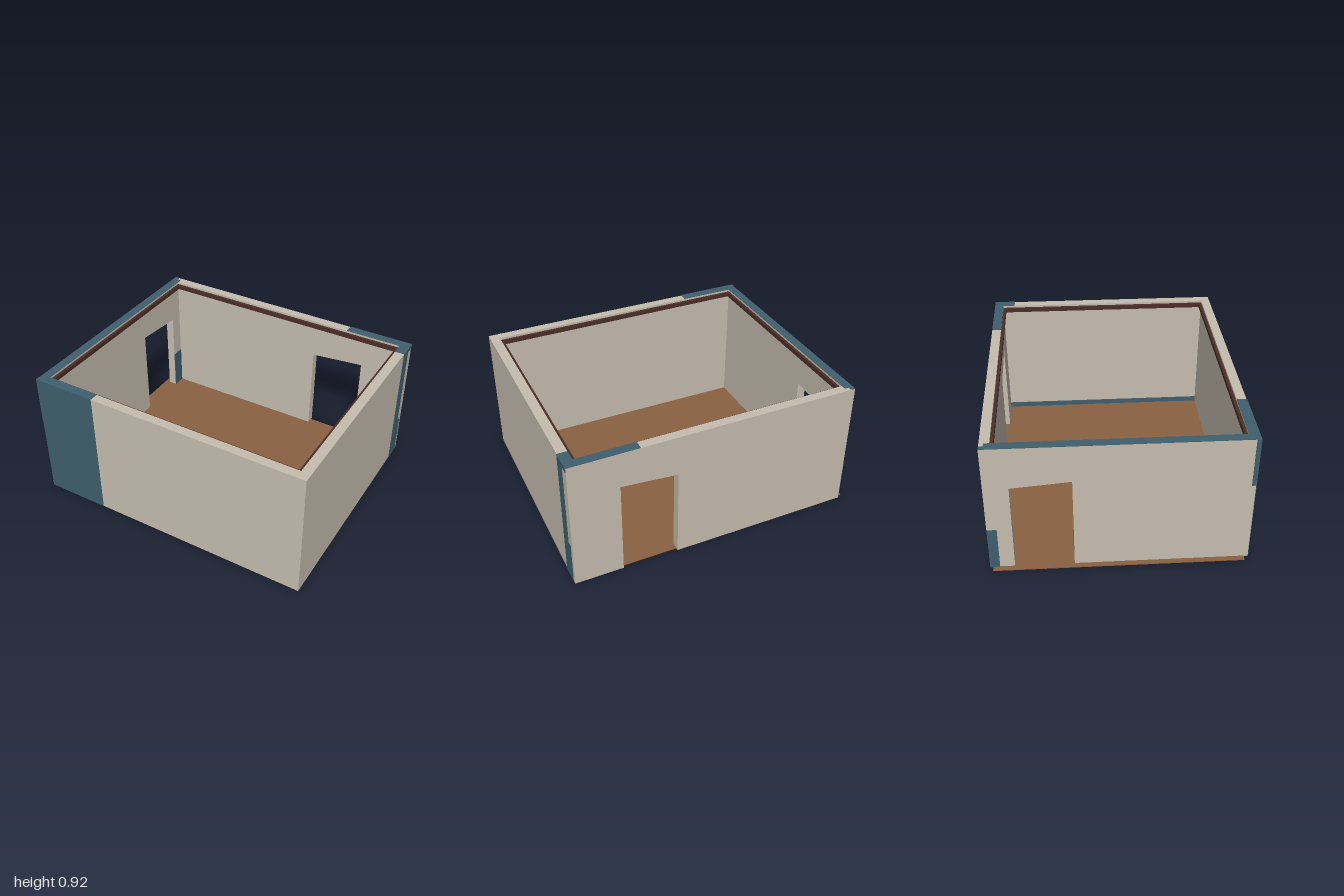
import * as THREE from 'three';

const material = (name, color) => {
  const m = new THREE.MeshStandardMaterial({ color });
  m.name = name;
  return m;
};

export function createModel() {
  const plaster = material('beige plaster', 0xc6bdaf);
  const teal = material('teal paint', 0x3f5f6d);
  const wood = material('brown floor', 0x8b6141);
  const dark = material('dark trim', 0x4b2e27);
  const room = new THREE.Group();
  room.name = 'room';

  const H = 0.92, B = 0.003, T = 0.003; // wall top, wall bottom, paint thickness
  const L = -0.965, R = 0.997, Z = 0.828; // outer faces
  const iL = -0.905, iR = 0.932, iZ = 0.765; // inner faces

  const add = (name, geometry, mat) => {
    const mesh = new THREE.Mesh(geometry, mat);
    mesh.name = name;
    room.add(mesh);
    return mesh;
  };
  // Box given by its limits on each axis
  const box = (name, mat, x0, x1, y0, y1, z0, z1) =>
    add(name, new THREE.BoxGeometry(x1 - x0, y1 - y0, z1 - z0), mat)
      .position.set((x0 + x1) / 2, (y0 + y1) / 2, (z0 + z1) / 2);

  // Wall outline with a doorway open at the bottom and a slightly sloping head
  const doorWall = (a, b, d0, h0, d1, h1, depth) => {
    const s = new THREE.Shape([
      [a, B], [d0, B], [d0, h0], [d1, h1], [d1, B], [b, B], [b, H], [a, H],
    ].map(p => new THREE.Vector2(...p)));
    return new THREE.ExtrudeGeometry(s, { depth, bevelEnabled: false });
  };

  // Floor sheet, reaching past the left-hand wall
  box('floor', wood, -1, 0.96, 0, 0.006, -0.808, 0.802);

  // Walls
  box('frontWall', plaster, L, R, B, H, iZ, Z);
  box('sideWall', plaster, iR, R, B, H, -iZ, iZ);
  add('backDoorWall', doorWall(L, R, 0.29, 0.638, 0.67, 0.672, Z - iZ), plaster)
    .position.z = -Z;
  const side = doorWall(-iZ, iZ, -0.67, 0.628, -0.29, 0.662, iL - L);
  side.rotateY(-Math.PI / 2);
  add('sideDoorWall', side, plaster).position.x = iL;

  // Painted part of the front wall: face, top and underside
  box('frontPaint', teal, L, -0.52, B, H + T, Z, Z + T);
  box('frontTopPaint', teal, L, -0.52, H, H + T, iZ, Z);
  box('frontUndersidePaint', teal, L, -0.52, 0.001, B, 0.802, Z);

  // Painted wall tops
  box('sideTopPaint', teal, L, iL, H, H + T, -0.8, iZ);
  box('cornerTopPaint', teal, L, -0.935, H, H + T, -Z, -0.8);
  box('backTopPaint', teal, 0.535, R, H, H + T, -Z, -iZ);
  box('rightTopPaint', teal, iR, R, H, H + T, -iZ, -0.68);

  // Painted corner strips on the outer faces
  box('rightCornerPaint', teal, R, R + T, B, H + T, -0.762, -0.68);
  box('rightCornerFoot', teal, R, R + T, B, 0.3, -0.8, -0.762);
  box('rightCornerHead', teal, R, R + T, 0.89, H + T, -Z, -0.762);
  box('leftCornerFoot', teal, L - T, L, B, 0.31, -Z, -iZ);
  box('leftCornerHead', teal, L - T, L, 0.58, H + T, 0.802, Z + T);

  // Painted patches inside
  box('innerCornerPaint', teal, iL, iL + T, 0.006, 0.3, -iZ, -0.67);
  box('jambPaint', teal, L, iL, 0.12, 0.33, -0.29 - T, -0.29);
  box('skirting', teal, iR - 0.005, iR, 0.006, 0.045, -iZ, iZ);

  // Dark trim around the inner top edge
  const y0 = 0.875, y1 = 0.905, w = 0.02;
  for (const s of [-1, 1]) {
    const a = s * iZ, b = s * (iZ - w);
    box('longTrim', dark, iL, iR, y0, y1, Math.min(a, b), Math.max(a, b));
  }
  box('sideTrim', dark, iL, iL + w, y0, y1, -iZ + w, iZ - w);
  box('sideTrim', dark, iR - w, iR, y0, y1, -iZ + w, iZ - w);

  return room;
}
